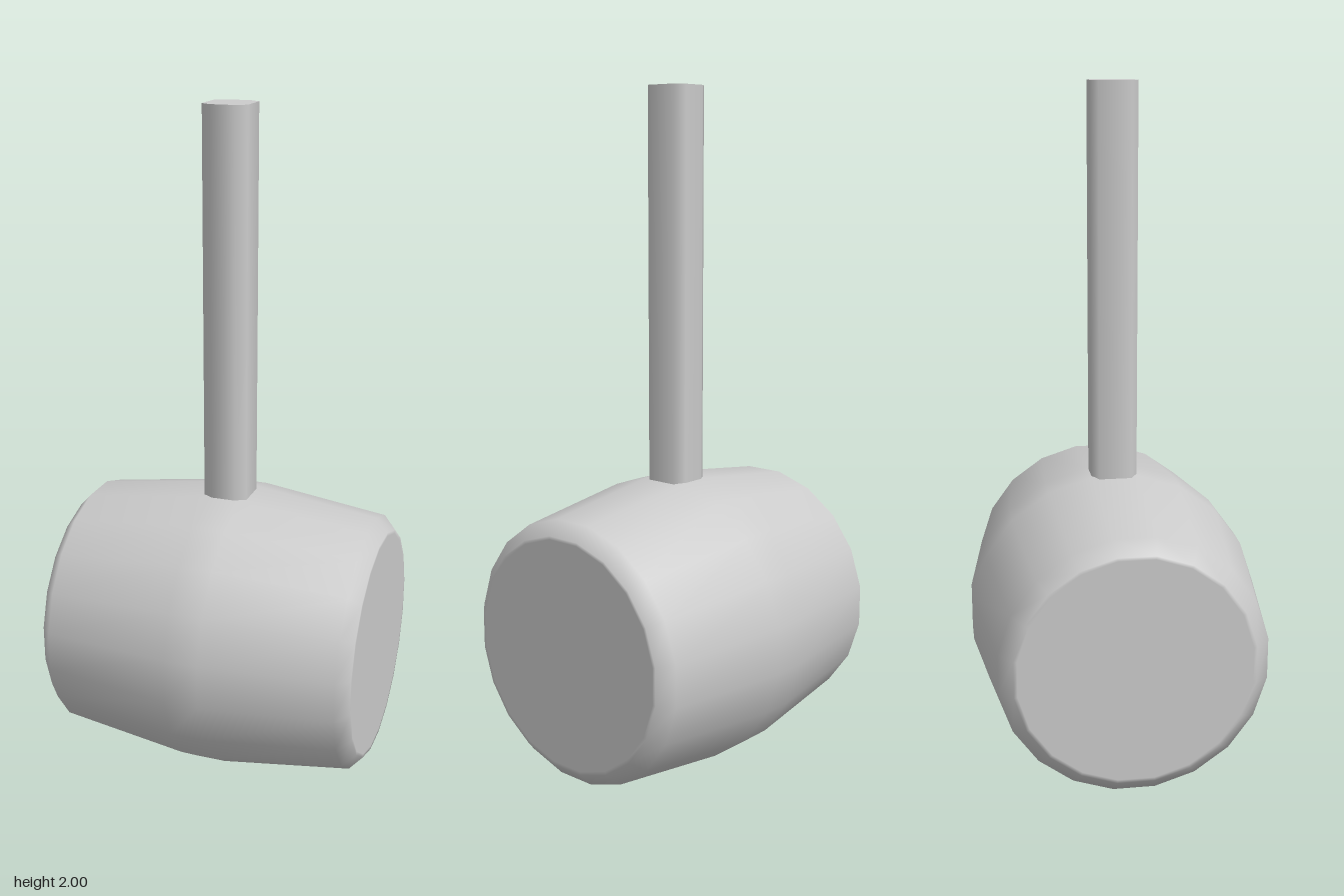
import * as THREE from 'three';

export function createModel() {
  const group = new THREE.Group();
  const material = new THREE.MeshStandardMaterial({ color: 0xcccccc });

  // Barrel-shaped head: 20-sided lathe lying along x, flat facets facing up, down, front and back
  const toCorner = 1 / Math.cos(Math.PI / 20); // facet distance -> corner radius
  const half = [[0, 0.475], [0.33, 0.475], [0.34, 0.475], [0.38, 0.438], [0.43, 0.05]];
  const profile = [
    ...half.map(([r, x]) => [r, -x]),
    ...half.slice().reverse(),
  ].map(([r, x]) => new THREE.Vector2(r * toCorner, x));
  const headGeo = new THREE.LatheGeometry(profile, 20, Math.PI / 20);
  headGeo.rotateZ(-Math.PI / 2);
  const head = new THREE.Mesh(headGeo, material);
  head.name = 'head';
  head.position.y = 0.43;
  group.add(head);

  // Handle: eight-sided shaft reshaped into a square with clipped corners
  const bottom = 0.8, top = 2;
  const handleGeo = new THREE.CylinderGeometry(1, 1, top - bottom, 8, 1, false, Math.PI / 8);
  const p = handleGeo.attributes.position;
  const snap = (v, near, far) => Math.abs(v) < 0.01 ? 0 : Math.sign(v) * (Math.abs(v) > 0.6 ? far : near);
  for (let i = 0; i < p.count; i++) {
    p.setX(i, snap(p.getX(i), 0.036, 0.066));
    p.setZ(i, snap(p.getZ(i), 0.048, 0.068));
  }
  const handle = new THREE.Mesh(handleGeo, material);
  handle.name = 'handle';
  handle.position.y = (bottom + top) / 2;
  group.add(handle);

  return group;
}
